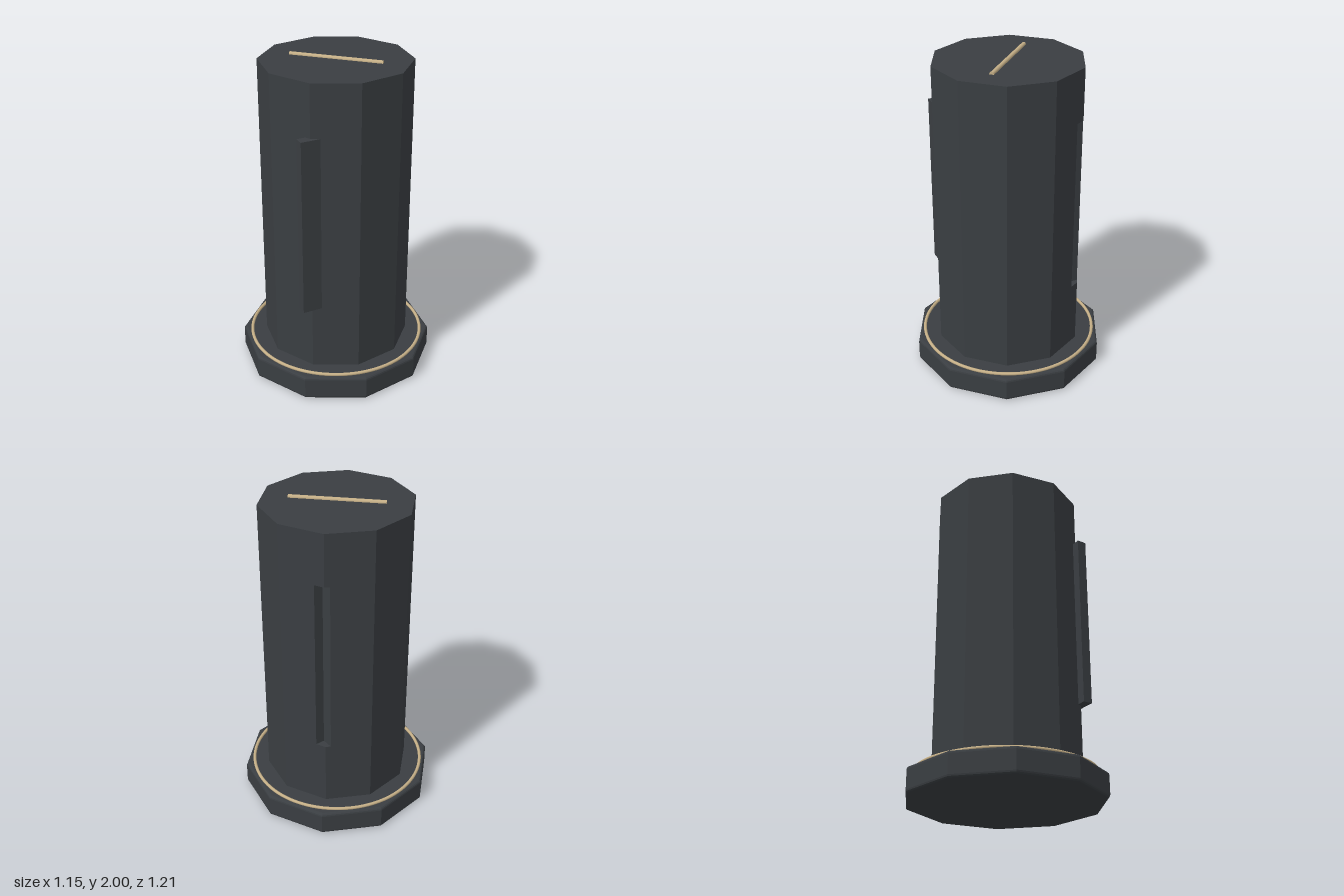
import * as THREE from 'three';

const SIDES = 10;
const dark = new THREE.MeshStandardMaterial({ color: 0x3a3e42, flatShading: true });
const gold = new THREE.MeshStandardMaterial({ color: 0xc4ae86 });

// Ten-sided outline with a corner at the back; shape y points to -z.
function outline(radius, backCorner) {
  const points = [...backCorner];
  for (let i = 1; i < SIDES; i++) {
    const a = (i / SIDES) * Math.PI * 2;
    points.push(new THREE.Vector2(Math.sin(a) * radius, Math.cos(a) * radius));
  }
  return new THREE.Shape(points);
}

// Upright prism between two heights.
function prism(shape, y0, y1) {
  const geometry = new THREE.ExtrudeGeometry(shape, { depth: y1 - y0, bevelEnabled: false });
  return geometry.rotateX(-Math.PI / 2).translate(0, y0, 0);
}

function add(parent, name, geometry, material) {
  const mesh = new THREE.Mesh(geometry, material);
  mesh.name = name;
  parent.add(mesh);
  return mesh;
}

export function createModel() {
  const model = new THREE.Group();
  const R = 0.457, keyLow = 0.568, keyHigh = 1.665, top = 1.985;

  // Base plate with rounded rims
  const baseR = 0.605, baseH = 0.153, bevel = 0.018;
  const profile = [new THREE.Vector2(0, 0)];
  for (const [cy, start] of [[bevel, -Math.PI / 2], [baseH - bevel, 0]]) {
    for (let i = 0; i <= 3; i++) {
      const a = start + (i / 3) * Math.PI / 2;
      profile.push(new THREE.Vector2(baseR - bevel + Math.cos(a) * bevel, cy + Math.sin(a) * bevel));
    }
  }
  profile.push(new THREE.Vector2(0, baseH));
  add(model, 'basePlate', new THREE.LatheGeometry(profile, SIDES), dark);

  // Body: plain ends and a middle with a slanted notch at the back corner
  const body = new THREE.Group();
  body.name = 'body';
  model.add(body);
  const plain = outline(R, [new THREE.Vector2(0, R)]);
  const notched = outline(R, [[-0.031, 0.447], [0.02, 0.397], [0.06, 0.4375]].map(p => new THREE.Vector2(...p)));
  add(body, 'lowerBody', prism(plain, 0.14, keyLow), dark);
  add(body, 'notchedBody', prism(notched, keyLow, keyHigh), dark);
  add(body, 'upperBody', prism(plain, keyHigh, top), dark);

  // Slanted key on the front corner
  const key = add(model, 'frontKey', new THREE.BoxGeometry(0.058, keyHigh - keyLow, 0.12), dark);
  key.position.set(-0.008, (keyLow + keyHigh) / 2, 0.463);
  key.rotation.y = -Math.PI / 4;

  // Trim ring around the base
  const ring = add(model, 'trimRing', new THREE.TorusGeometry(0.549, 0.01, 12, 96), gold);
  ring.rotation.x = Math.PI / 2;
  ring.position.y = 0.161;

  // Round bar set into the top
  const bar = add(model, 'topBar', new THREE.CylinderGeometry(0.014, 0.014, 0.566, 20), gold);
  bar.rotation.z = Math.PI / 2;
  bar.position.y = 1.986;

  return model;
}
